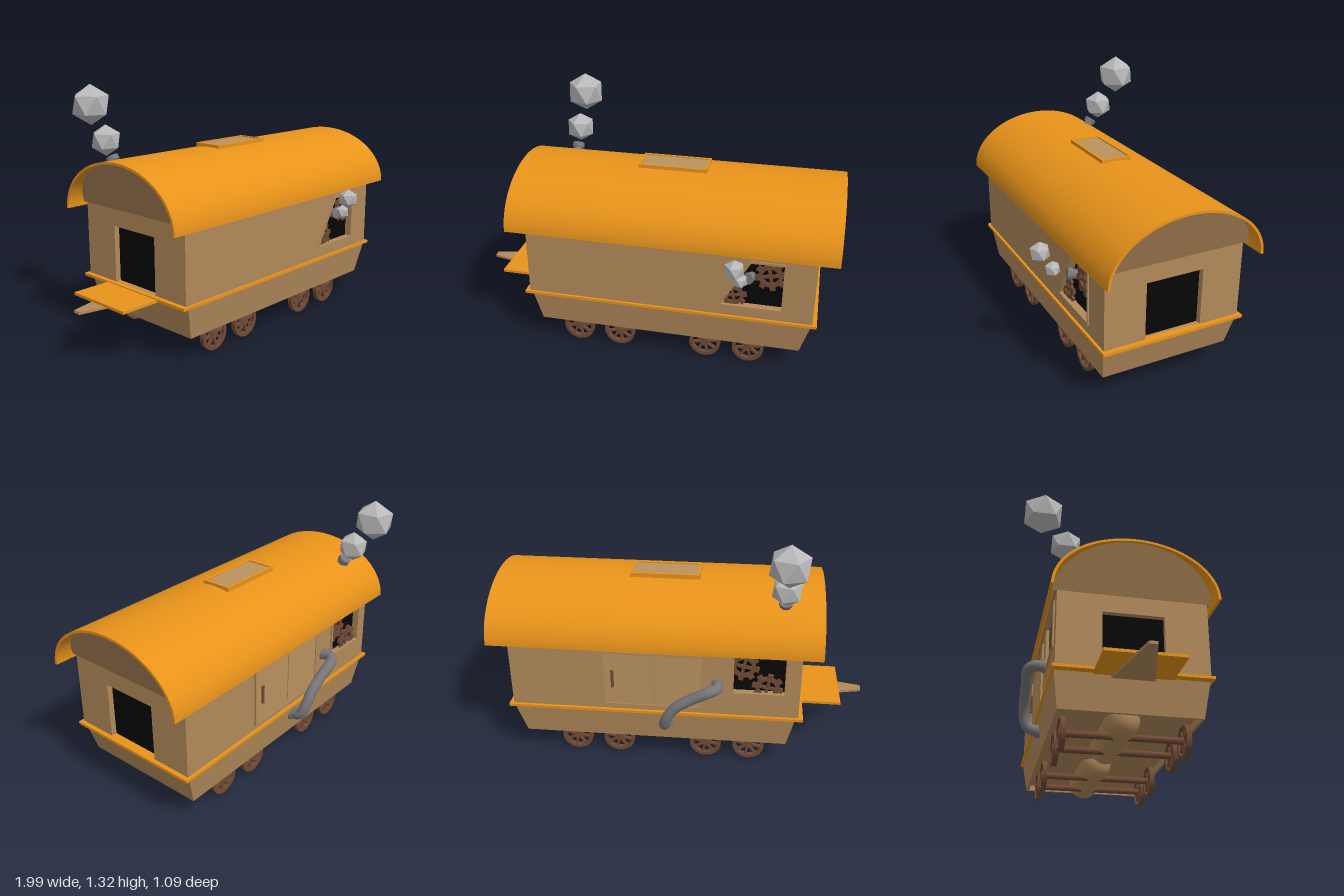
import * as THREE from 'three';
import { toCreasedNormals } from 'three/addons/utils/BufferGeometryUtils.js';

const mat = (color, extra = {}) => new THREE.MeshStandardMaterial({ color, ...extra });
const ORANGE = mat(0xe8931a), TAN = mat(0xb28a5a), PANEL = mat(0xba9260), BLACK = mat(0x070707),
  BROWN = mat(0x704a35), PIPE = mat(0x77777a), SMOKE = mat(0xb8b8b8, { flatShading: true });
const GABLE = mat(0xa68053, { side: THREE.DoubleSide });
const MID = -0.01; // centre line of the wagon in z

export function createModel() {
  const root = new THREE.Group();

  const add = (name, geo, material, parent = root) => {
    const m = new THREE.Mesh(geo, material);
    m.name = name;
    parent.add(m);
    return m;
  };
  // box given by its limits
  const box = (name, x0, x1, y0, y1, z0, z1, material) => {
    const m = add(name, new THREE.BoxGeometry(x1 - x0, y1 - y0, z1 - z0), material);
    m.position.set((x0 + x1) / 2, (y0 + y1) / 2, (z0 + z1) / 2);
    return m;
  };
  const poly = (pts) => new THREE.Shape(pts.map(([x, y]) => new THREE.Vector2(x, y)));
  const rect = (x0, x1, y0, y1) => [[x0, y0], [x1, y0], [x1, y1], [x0, y1]];
  const plate = (outer, holes, depth) => {
    const s = poly(outer);
    s.holes = holes.map(poly);
    return new THREE.ExtrudeGeometry(s, { depth, bevelEnabled: false });
  };
  const grow = (pts, d) => {
    const cx = pts.reduce((a, p) => a + p[0], 0) / pts.length, cy = pts.reduce((a, p) => a + p[1], 0) / pts.length;
    return pts.map(([x, y]) => [x + Math.sign(x - cx) * d, y + Math.sign(y - cy) * d]);
  };
  const rod = (name, a, b, r, material, parent = root, sides = 16) => {
    const p = new THREE.Vector3(...a), q = new THREE.Vector3(...b);
    const m = add(name, new THREE.CylinderGeometry(r, r, p.distanceTo(q), sides), material, parent);
    m.position.copy(p).lerp(q, 0.5);
    m.quaternion.setFromUnitVectors(new THREE.Vector3(0, 1, 0), q.sub(p).normalize());
    return m;
  };

  // Lower hull: tapering skirt with a rim around a recessed floor
  const hullPos = [], hullIdx = [];
  [[0.31, -0.625, 0.885, 0.372], [0.132, -0.585, 0.835, 0.347], [0.132, -0.57, 0.82, 0.332], [0.175, -0.57, 0.82, 0.332]]
    .forEach(([y, x0, x1, w], r) => {
      hullPos.push(x0, y, MID + w, x1, y, MID + w, x1, y, MID - w, x0, y, MID - w);
      for (let i = 0; r < 3 && i < 4; i++) {
        const a = r * 4 + i, b = r * 4 + (i + 1) % 4;
        hullIdx.push(a, a + 4, b, b, a + 4, b + 4);
      }
    });
  const hull = new THREE.BufferGeometry();
  hull.setAttribute('position', new THREE.Float32BufferAttribute(hullPos, 3));
  hull.setIndex(hullIdx);
  add('hull', toCreasedNormals(hull, 0.1), TAN);
  box('floor', -0.575, 0.825, 0.165, 0.18, MID - 0.335, MID + 0.335, TAN);
  box('trim', -0.665, 0.913, 0.305, 0.32, -0.395, 0.375, ORANGE);

  // Dark interior and pierced walls
  box('interior', -0.61, 0.86, 0.315, 0.7, -0.35, 0.33, BLACK);
  const frontWin = [[0.415, 0.385], [0.727, 0.385], [0.727, 0.645], [0.56, 0.645]];
  const backWin = rect(-0.56, -0.295, 0.46, 0.675);
  const side = rect(-0.64, 0.89, 0.315, 0.725);
  add('frontWall', plate(side, [frontWin], 0.032), TAN).position.z = 0.33;
  add('backWall', plate(side, [backWin], 0.03), TAN).position.z = -0.38;
  for (const [name, x] of [['leftEndWall', 0.86], ['rightEndWall', -0.64]]) {
    const geo = plate(rect(-0.33, 0.35, 0.315, 0.725), [rect(-0.145, 0.16, 0.32, 0.62)], 0.03);
    add(name, geo.rotateY(Math.PI / 2), TAN).position.x = x;
  }
  add('frontWindowFrame', plate(grow(frontWin, 0.012), [frontWin], 0.008), TAN).position.z = 0.362;
  add('backWindowFrame', plate(grow(backWin, 0.015), [backWin], 0.008), TAN).position.z = -0.388;

  // Clockwork gears behind the windows
  const gear = (x, y, z, r) => {
    const g = new THREE.Group();
    g.name = 'gear';
    g.position.set(x, y, z);
    const ring = new THREE.Shape().absarc(0, 0, r * 0.78, 0, Math.PI * 2);
    ring.holes.push(new THREE.Path().absarc(0, 0, r * 0.52, 0, Math.PI * 2, true));
    const rg = new THREE.ExtrudeGeometry(ring, { depth: 0.014, bevelEnabled: false, curveSegments: 20 });
    add('gearRing', rg.translate(0, 0, -0.007), BROWN, g);
    for (let i = 0; i < 8; i++) {
      const a = i * Math.PI / 4 + 0.2;
      const t = add('gearTooth', new THREE.BoxGeometry(r * 0.3, r * 0.34, 0.014), BROWN, g);
      t.position.set(Math.cos(a) * r * 0.86, Math.sin(a) * r * 0.86, 0);
      t.rotation.z = a;
    }
    for (const a of [0.2, 0.2 + Math.PI / 2])
      add('gearSpoke', new THREE.BoxGeometry(r * 1.2, r * 0.2, 0.012), BROWN, g).rotation.z = a;
    root.add(g);
  };
  gear(0.66, 0.57, 0.345, 0.08);
  gear(0.475, 0.435, 0.345, 0.07);
  gear(-0.345, 0.61, -0.365, 0.08);
  gear(-0.47, 0.49, -0.365, 0.08);

  // Double door on the back
  add('doorFrame', plate(rect(-0.137, 0.397, 0.345, 0.67), [rect(-0.125, 0.385, 0.357, 0.658)], 0.01), TAN).position.z = -0.39;
  box('doorPanelLeft', 0.125, 0.385, 0.357, 0.658, -0.385, -0.375, PANEL);
  box('doorPanelRight', -0.125, 0.119, 0.357, 0.658, -0.385, -0.375, PANEL);
  rod('doorHandle', [0.34, 0.46, -0.39], [0.34, 0.56, -0.39], 0.008, BROWN, root, 8);

  // Arched roof shell
  const arch = new THREE.Shape();
  arch.absellipse(0, 0.69, 0.411, 0.29, 0, Math.PI, false);
  arch.lineTo(-0.397, 0.69);
  arch.absellipse(0, 0.69, 0.397, 0.277, Math.PI, 0, true);
  const roof = new THREE.ExtrudeGeometry(arch, { depth: 1.735, bevelEnabled: false, curveSegments: 32 });
  roof.rotateY(Math.PI / 2).translate(-0.742, 0, MID);
  add('roof', toCreasedNormals(roof, 0.6), ORANGE);
  box('soffit', -0.64, 0.89, 0.712, 0.72, -0.395, 0.375, TAN);

  // Flat gables leaning out from the wall tops to the roof ends
  for (const [name, xWall, dir] of [['leftGable', 0.892, 1], ['rightGable', -0.642, -1]]) {
    const s = new THREE.Shape();
    s.absellipse(0, 0.69, 0.399, 0.279, 0.075, Math.PI - 0.075, false);
    const geo = new THREE.ShapeGeometry(s, 32).rotateY(dir * Math.PI / 2);
    const p = geo.attributes.position;
    for (let i = 0; i < p.count; i++) p.setX(i, xWall + dir * 0.088 * (p.getY(i) - 0.711) / 0.258);
    geo.computeVertexNormals();
    add(name, geo, GABLE).position.z = MID;
  }

  // Roof hatch
  const hatch = plate(rect(-0.095, 0.275, -0.058, 0.11), [rect(-0.083, 0.263, -0.046, 0.098)], 0.045);
  add('hatchFrame', hatch.rotateX(-Math.PI / 2), ORANGE).position.y = 0.95;
  box('hatchPanel', -0.083, 0.263, 0.95, 0.988, -0.098, 0.046, PANEL);

  // Step board and drawbar
  box('stepBoard', -0.875, -0.62, 0.3, 0.315, -0.2, 0.183, ORANGE);
  const bar = plate([[-1, -0.02], [-0.62, -0.105], [-0.62, 0.105], [-1, 0.02]], [], 0.014);
  add('drawbar', bar.rotateX(-Math.PI / 2), TAN).position.set(0, 0.288, MID);

  // Belly tanks: capsules with a fuller, deeper underside
  for (const x of [-0.228, 0.482]) {
    const geo = new THREE.CapsuleGeometry(0.085, 0.395, 10, 32).rotateZ(Math.PI / 2);
    const p = geo.attributes.position;
    for (let i = 0; i < p.count; i++) {
      const y = p.getY(i);
      p.setY(i, Math.sign(y) * 0.105 * Math.pow(Math.abs(y) / 0.085, 0.8));
    }
    geo.computeVertexNormals();
    add('bellyTank', geo, TAN).position.set(x, 0.17, -0.022);
  }

  // Wheels and axles
  const rim = new THREE.Shape().absarc(0, 0, 0.085, 0, Math.PI * 2);
  rim.holes.push(new THREE.Path().absarc(0, 0, 0.067, 0, Math.PI * 2, true));
  const rimGeo = toCreasedNormals(new THREE.ExtrudeGeometry(rim, { depth: 0.026, bevelEnabled: false, curveSegments: 24 })
    .translate(0, 0, -0.013), 0.6);
  for (const x of [-0.385, -0.15, 0.33, 0.565]) {
    rod('axle', [x, 0.088, -0.31], [x, 0.088, 0.295], 0.017, BROWN);
    for (const z of [-0.309, 0.295]) {
      const wheel = new THREE.Group();
      wheel.name = 'wheel';
      wheel.position.set(x, 0.085, z);
      add('rim', rimGeo, BROWN, wheel);
      rod('hub', [0, 0, -0.014], [0, 0, 0.014], 0.022, BROWN, wheel);
      for (let i = 0; i < 4; i++)
        add('spokes', new THREE.BoxGeometry(0.145, 0.012, 0.016), BROWN, wheel).rotation.z = i * Math.PI / 4 + 0.2;
      root.add(wheel);
    }
  }

  // Bent pipe on the back
  const path = new THREE.CatmullRomCurve3([
    [-0.21, 0.505, -0.37], [-0.21, 0.506, -0.43], [-0.17, 0.5, -0.461], [-0.08, 0.452, -0.461],
    [0, 0.395, -0.459], [0.045, 0.33, -0.455], [0.062, 0.27, -0.432], [0.057, 0.242, -0.355],
  ].map((p) => new THREE.Vector3(...p)));
  add('backPipe', new THREE.TubeGeometry(path, 48, 0.029, 14), PIPE);
  rod('pipeCollarTop', [-0.21, 0.505, -0.375], [-0.21, 0.505, -0.393], 0.032, PIPE);
  rod('pipeCollarBottom', [0.057, 0.242, -0.35], [0.058, 0.25, -0.388], 0.036, PIPE);

  // Exhaust stubs
  rod('roofStub', [-0.54, 0.88, -0.235], [-0.54, 0.94, -0.28], 0.026, PIPE);
  rod('roofStubCap', [-0.54, 0.928, -0.271], [-0.54, 0.95, -0.287], 0.034, PIPE);
  rod('windowStub', [0.565, 0.552, 0.33], [0.547, 0.562, 0.38], 0.025, PIPE);
  rod('windowStubCap', [0.552, 0.56, 0.368], [0.547, 0.563, 0.385], 0.03, PIPE);

  // Puffs of smoke
  for (const [x, y, z, r] of [[-0.54, 1.033, -0.333, 0.083], [-0.54, 1.21, -0.453, 0.109],
    [0.515, 0.585, 0.445, 0.041], [0.49, 0.675, 0.498, 0.054]]) {
    const puff = add('smokePuff', new THREE.IcosahedronGeometry(r, 0), SMOKE);
    puff.position.set(x, y, z);
    puff.rotation.z = Math.atan(2 / (1 + Math.sqrt(5)));
  }
  return root;
}
